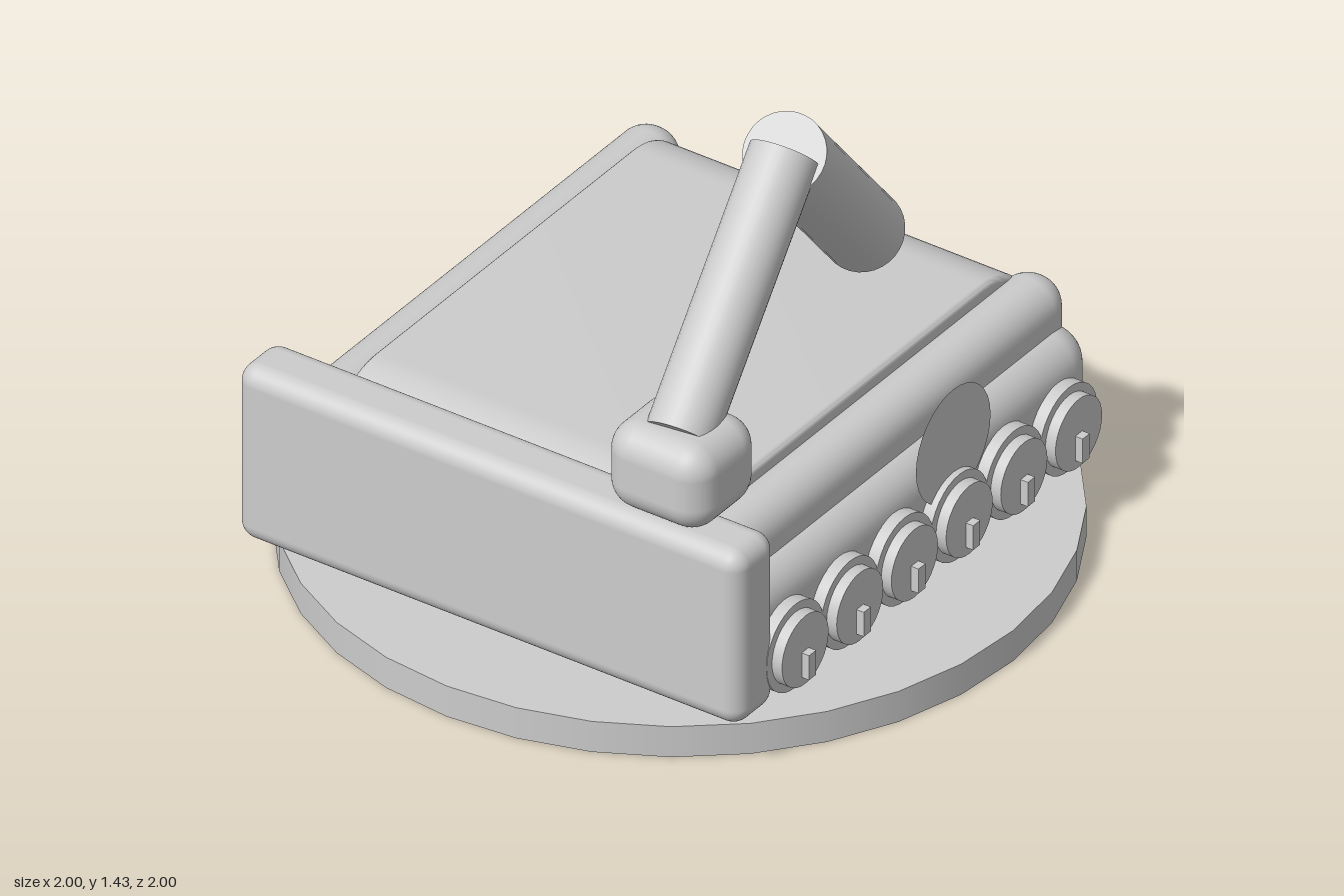
import * as THREE from 'three';
import { RoundedBoxGeometry } from 'three/addons/geometries/RoundedBoxGeometry.js';
import { toCreasedNormals } from 'three/addons/utils/BufferGeometryUtils.js';

export function createModel() {
  const model = new THREE.Group();
  model.name = 'trackedVehicle';
  const grey = new THREE.MeshStandardMaterial({ color: 0xcccccc });
  grey.name = 'light grey';
  const greyThin = grey.clone();
  greyThin.name = 'light grey thin';
  greyThin.side = THREE.DoubleSide;

  function add(name, geometry, x = 0, y = 0, z = 0, parent = model, material = grey) {
    const mesh = new THREE.Mesh(geometry, material);
    mesh.name = name;
    mesh.position.set(x, y, z);
    parent.add(mesh);
    return mesh;
  }

  // Rounded box given by its minimum and maximum corners
  function block(name, min, max, radius) {
    const size = max.map((v, i) => v - min[i]);
    const mid = max.map((v, i) => (v + min[i]) / 2);
    return add(name, new RoundedBoxGeometry(...size, 5, radius), ...mid);
  }

  // Cylinder between two points
  function rod(name, from, to, radius) {
    const a = new THREE.Vector3(...from), b = new THREE.Vector3(...to);
    const dir = b.clone().sub(a);
    const mesh = add(name, new THREE.CylinderGeometry(radius, radius, dir.length(), 32));
    mesh.position.copy(a).add(b).multiplyScalar(0.5);
    mesh.quaternion.setFromUnitVectors(new THREE.Vector3(0, 1, 0), dir.normalize());
    return mesh;
  }

  // Round stand
  add('stand', new THREE.CylinderGeometry(1, 1, 0.09, 32), 0, 0.045, 0);

  // Hull: slab with fully rounded front and rear ends
  const bevel = 0.015, r = 0.21 - bevel, half = 0.55;
  const profile = new THREE.Shape();
  profile.absarc(half, 0, r, -Math.PI / 2, Math.PI / 2, false);
  profile.absarc(-half, 0, r, Math.PI / 2, Math.PI * 1.5, false);
  profile.closePath();
  const hull = new THREE.ExtrudeGeometry(profile, {
    depth: 1.06 - 2 * bevel, curveSegments: 20,
    bevelEnabled: true, bevelSize: bevel, bevelThickness: bevel, bevelSegments: 3,
  });
  hull.center();
  hull.rotateY(Math.PI / 2);
  add('hull', toCreasedNormals(hull, 0.6), 0, 0.42, 0);

  // Front plate
  block('frontPlate', [-0.757, 0.145, 0.66], [0.757, 0.655, 0.83], 0.05);

  // Fenders, tracks and road wheels on both sides
  const rimGeometry = new THREE.CylinderGeometry(0.123, 0.123, 0.1, 32).rotateZ(Math.PI / 2);
  const hubGeometry = new THREE.CylinderGeometry(0.1, 0.1, 0.1, 32).rotateZ(Math.PI / 2);
  const lugGeometry = new THREE.BoxGeometry(0.06, 0.072, 0.03);
  for (const s of [1, -1]) {
    const side = s > 0 ? 'left' : 'right';
    const fender = block(side + 'Fender', [0.49, 0.25, -0.757], [0.655, 0.6, 0.757], 0.08);
    const track = block(side + 'Track', [0.53, 0.132, -0.757], [0.725, 0.48, 0.757], 0.097);
    fender.position.x *= s;
    track.position.x *= s;
    for (let i = 0; i < 6; i++) {
      const wheel = new THREE.Group();
      wheel.name = side + 'Wheel' + (i + 1);
      wheel.position.set(0, 0.273, 0.588 - i * 0.2345);
      add('rim', rimGeometry, s * 0.708, 0, 0, wheel);
      add('hub', hubGeometry, s * 0.738, 0, 0, wheel);
      add('lug', lugGeometry, s * 0.78, -0.037, 0, wheel);
      model.add(wheel);
    }
  }

  // Thin round plate on the left side
  add('sideDisc', new THREE.CircleGeometry(0.16, 32).rotateY(Math.PI / 2),
    0.74, 0.48, -0.115, model, greyThin);

  // Bent arm on its mount
  block('armMount', [0.33, 0.645, 0.545], [0.635, 0.89, 0.82], 0.08);
  const elbow = [0.415, 1.355, 0.144];
  rod('lowerArm', [0.487, 0.849, 0.694], elbow, 0.09);
  rod('upperArm', elbow, [0.228, 0.728, -0.459], 0.107);

  return model;
}
